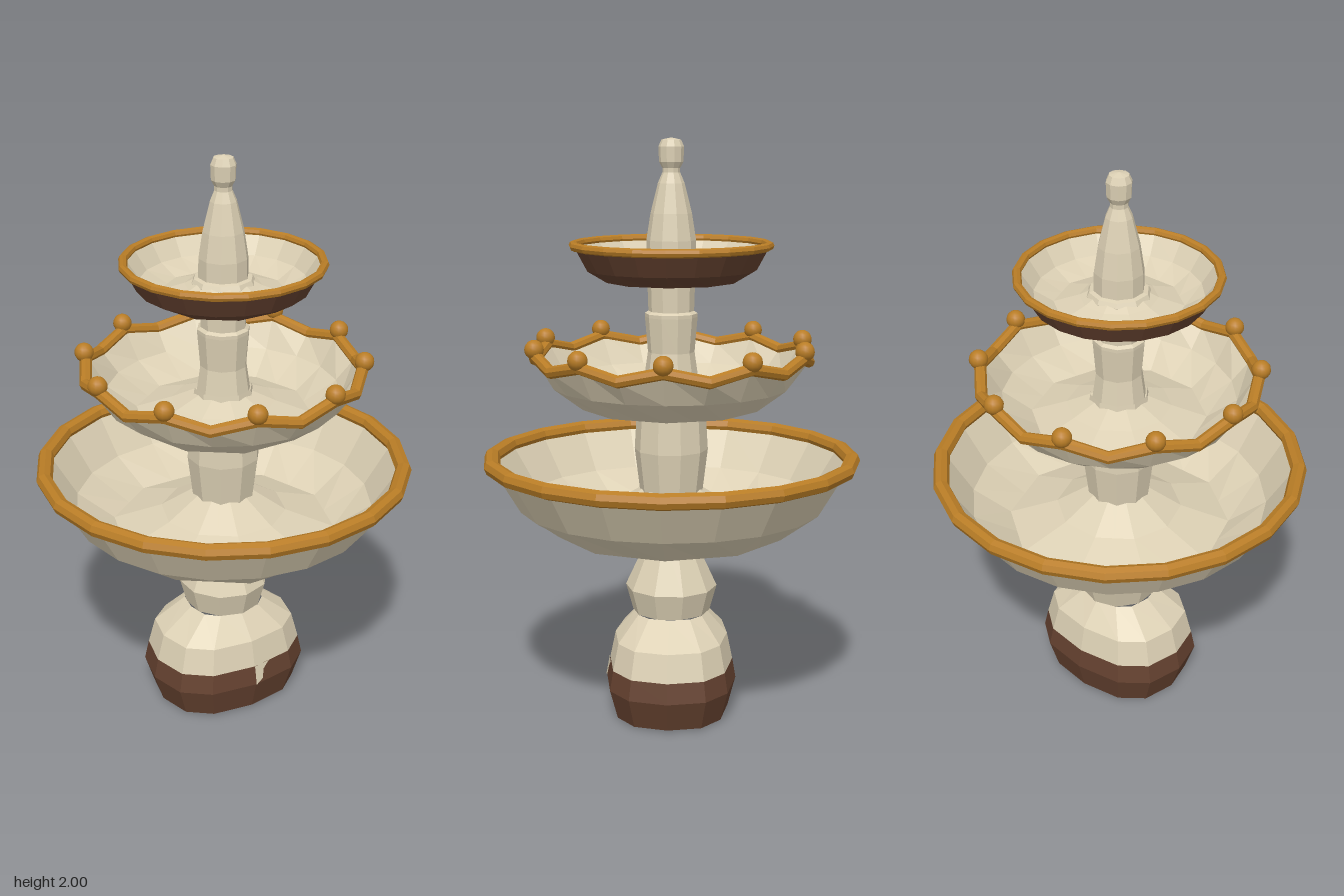
import * as THREE from 'three';

const stone = new THREE.MeshStandardMaterial({ name: 'cream stone', color: 0xdcd0b4 });
const brown = new THREE.MeshStandardMaterial({ name: 'dark brown', color: 0x64412f });
const gold = new THREE.MeshStandardMaterial({ name: 'gold', color: 0xb97d26 });
const SIDES = 20;

function add(group, name, geometry, material) {
  const mesh = new THREE.Mesh(geometry, material);
  mesh.name = name;
  group.add(mesh);
  return mesh;
}

// Flat facets: every triangle gets its own normal
function facet(geometry) {
  const flat = geometry.index ? geometry.toNonIndexed() : geometry;
  flat.computeVertexNormals();
  return flat;
}

function lathe(profile, sides) {
  return new THREE.LatheGeometry(profile.map(([r, y]) => new THREE.Vector2(r, y)), sides);
}

// Moves each vertex by a rule that knows whether it lies on an even spoke
function reshape(geometry, rule) {
  const pos = geometry.attributes.position;
  const v = new THREE.Vector3();
  for (let i = 0; i < pos.count; i++) {
    v.fromBufferAttribute(pos, i);
    const spoke = Math.round(Math.atan2(v.x, v.z) / (2 * Math.PI / SIDES));
    rule(v, spoke % 2 === 0);
    pos.setXYZ(i, v.x, v.y, v.z);
  }
  return geometry;
}

// A bowl shell with a ten-sided foot, a raised centre and a gold rim
function bowl(name, { outer, inner, foot, rim, outside, scallop = 0 }) {
  const group = new THREE.Group();
  group.name = name;
  const rule = (v, even) => {
    const r = Math.hypot(v.x, v.z);
    if (even && r <= foot + 0.001) {
      v.x *= Math.cos(Math.PI / 10);
      v.z *= Math.cos(Math.PI / 10);
    }
    if (even && v.y > rim.y - 0.04) v.y -= scallop;
  };
  const shell = profile => facet(reshape(lathe(profile, SIDES), rule));
  add(group, name + 'Outside', shell(outer), outside);
  add(group, name + 'Inside', shell(inner), stone);

  const ring = new THREE.TorusGeometry(rim.r, rim.tube, 8, SIDES);
  ring.rotateX(Math.PI / 2).translate(0, rim.y, 0);
  reshape(ring, (v, even) => { if (even) v.y -= scallop; });
  add(group, name + 'Rim', facet(ring), gold);
  return group;
}

export function createModel() {
  const model = new THREE.Group();
  model.name = 'fountain';

  // Oval base, painted brown at the bottom
  const baseParts = [
    ['baseBand', [[0, 0], [0.255, 0.005], [0.29, 0.11], [0.275, 0.18]], brown],
    ['baseShoulder', [[0.275, 0.18], [0.25, 0.275], [0.135, 0.36]], stone],
  ];
  for (const [name, profile, material] of baseParts) {
    const geometry = reshape(lathe(profile, 12), v => {
      const r = Math.hypot(v.x, v.z) || 1;
      const bulge = t => Math.sign(t) * Math.pow(Math.abs(t), 0.8);
      const depth = v.y > 0.3 ? 0.92 : 0.79;
      v.set(r * bulge(v.x / r), v.y, r * depth * bulge(v.z / r));
      if (profile[0][0] === 0 && v.y === 0) v.set(0, 0, 0);
    });
    add(model, name, facet(geometry), material);
  }

  // Worn notch in the front of the brown band
  const notch = new THREE.Shape([[0, 0.182], [0, 0.11], [0.03, 0.125], [0.038, 0.16], [0.065, 0.182]]
    .map(([x, y]) => new THREE.Vector2(x, y)));
  const notchGeometry = reshape(new THREE.ShapeGeometry(notch), v => {
    v.z = 0.233 - 0.18 * (v.y - 0.11) - 0.15 * v.x;
  });
  add(model, 'bandNotch', facet(notchGeometry), stone);

  // Central column, one piece between each pair of bowls
  const columns = {
    pedestal: [[0.135, 0.36], [0.16, 0.45], [0.072, 0.64], [0.08, 0.82]],
    lowerColumn: [[0.105, 0.76], [0.127, 0.94], [0.118, 1.09], [0.1, 1.2]],
    upperColumn: [[0.1, 1.14], [0.08, 1.28], [0.09, 1.4], [0.09, 1.412], [0.078, 1.42], [0.083, 1.58]],
    collar: [[0.1, 1.54], [0.108, 1.575], [0.1, 1.59], [0.08, 1.595]],
    finial: [[0.085, 1.58], [0.084, 1.66], [0.07, 1.75], [0.045, 1.85], [0.03, 1.885],
      [0.03, 1.9], [0.041, 1.92], [0.043, 1.97], [0.033, 1.993], [0, 2]],
  };
  for (const [name, profile] of Object.entries(columns)) {
    add(model, name, facet(lathe(profile, 10)), stone);
  }

  // Three bowls, largest at the bottom
  model.add(bowl('lowerBowl', {
    outer: [[0.06, 0.81], [0.22, 0.71], [0.4, 0.65], [0.53, 0.745], [0.622, 0.9]],
    inner: [[0.612, 0.905], [0.52, 0.76], [0.39, 0.67], [0.22, 0.73], [0.06, 0.83]],
    foot: 0.4, rim: { r: 0.625, y: 0.905, tube: 0.028 }, outside: stone,
  }));
  model.add(bowl('middleBowl', {
    outer: [[0.06, 1.18], [0.18, 1.13], [0.31, 1.09], [0.41, 1.165], [0.468, 1.275]],
    inner: [[0.46, 1.28], [0.4, 1.18], [0.3, 1.11], [0.18, 1.15], [0.06, 1.2]],
    foot: 0.31, rim: { r: 0.47, y: 1.28, tube: 0.021 }, outside: stone, scallop: 0.032,
  }));
  model.add(bowl('topBowl', {
    outer: [[0.06, 1.585], [0.13, 1.55], [0.223, 1.52], [0.29, 1.56], [0.333, 1.64]],
    inner: [[0.326, 1.642], [0.28, 1.575], [0.215, 1.537], [0.13, 1.565], [0.06, 1.6]],
    foot: 0.223, rim: { r: 0.333, y: 1.642, tube: 0.015 }, outside: brown,
  }));

  // Gold balls on the peaks of the scalloped rim
  const ballGeometry = new THREE.SphereGeometry(0.033, 14, 10);
  for (let i = 0; i < 10; i++) {
    const a = i * Math.PI / 5;
    add(model, 'rimBall', ballGeometry, gold)
      .position.set(0.475 * Math.cos(a), 1.304, 0.475 * Math.sin(a));
  }
  return model;
}
